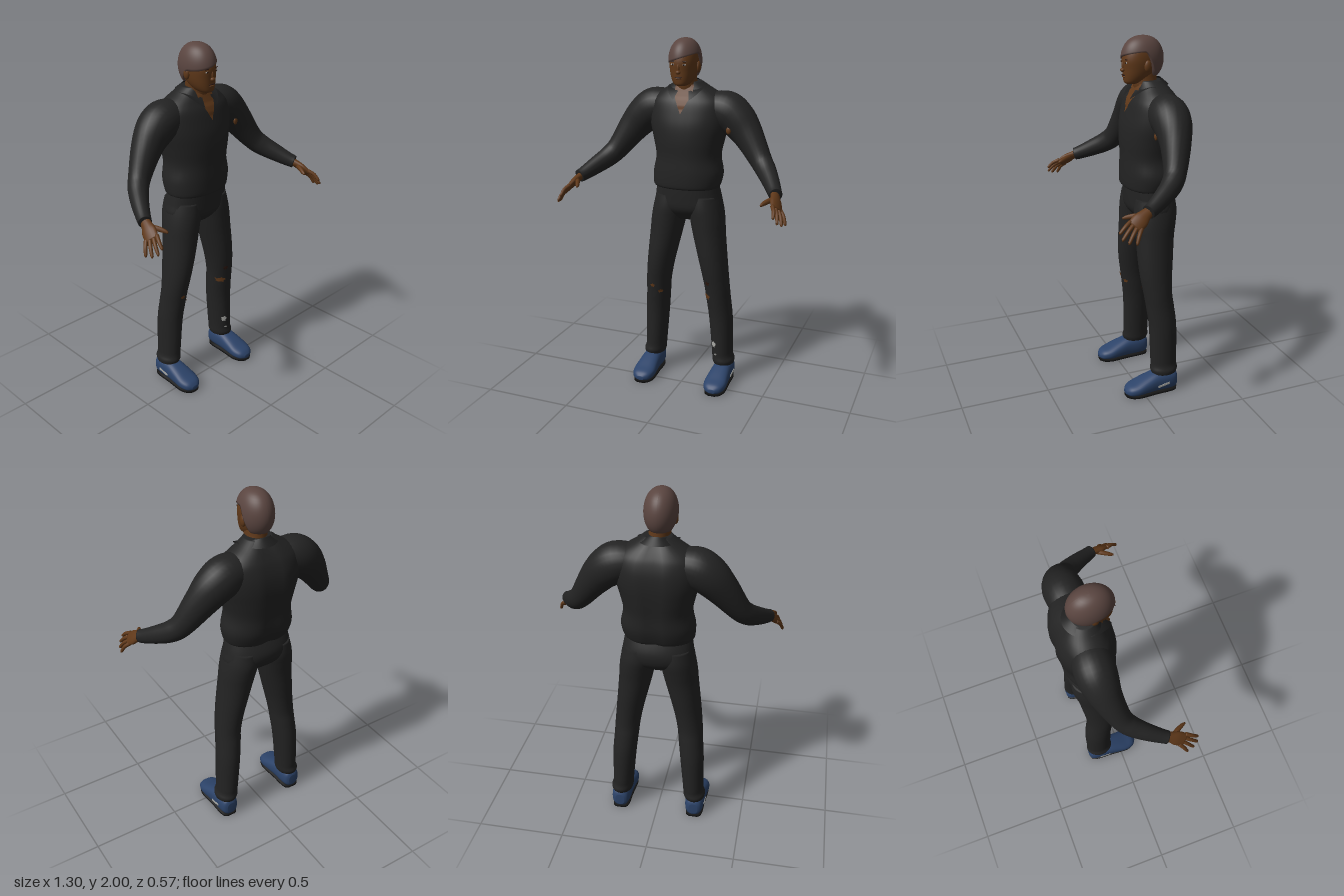
import * as THREE from 'three';

const V = (x, y, z) => new THREE.Vector3(x, y, z);
const UP = V(0, 1, 0), FRONT = V(0, 0, 1);
const mat = (name, color, side = THREE.FrontSide) => {
  const m = new THREE.MeshStandardMaterial({ color, side });
  m.name = name;
  return m;
};

// Catmull-Rom refinement of a list of equal-length number rows
function refine(rows, steps = 5) {
  const out = [], last = rows.length - 1;
  const row = i => rows[Math.min(last, Math.max(0, i))];
  for (let i = 0; i < last; i++) for (let k = 0; k < steps; k++) {
    const t = k / steps;
    out.push(row(i).map((b, j) => {
      const a = row(i - 1)[j], c = row(i + 1)[j], d = row(i + 2)[j];
      return b + 0.5 * t * (c - a + t * (2 * a - 5 * b + 4 * c - d + t * (3 * (b - c) + d - a)));
    }));
  }
  out.push(rows[last]);
  return out;
}

const power = (v, p) => Math.sign(v) * Math.abs(v) ** p;

// Closed superellipse ring across direction T; rv runs along ref, ru across it
function ring(c, T, ref, ru, rv, n = 2, segs = 32) {
  const v = ref.clone().addScaledVector(T, -ref.dot(T)).normalize();
  const u = T.clone().cross(v);
  return Array.from({ length: segs }, (_, i) => {
    const a = i / segs * Math.PI * 2;
    return c.clone().addScaledVector(u, ru * power(Math.sin(a), 2 / n))
      .addScaledVector(v, rv * power(Math.cos(a), 2 / n));
  });
}

function makeMesh(name, pts, idx, material) {
  const g = new THREE.BufferGeometry().setFromPoints(pts);
  g.setIndex(idx);
  g.computeVertexNormals();
  const m = new THREE.Mesh(g, material);
  m.name = name;
  return m;
}

// Skin over a list of rings, capped at both ends
function loft(name, rings, material) {
  const n = rings[0].length, pts = rings.flat(), idx = [];
  const centre = r => r.reduce((s, p) => s.add(p), V(0, 0, 0)).divideScalar(n);
  const lo = pts.push(centre(rings[0])) - 1, hi = pts.push(centre(rings.at(-1))) - 1;
  const top = (rings.length - 1) * n;
  for (let i = 0; i < n; i++) {
    const j = (i + 1) % n;
    for (let r = 0; r < top; r += n) idx.push(r + i, r + j, r + n + j, r + i, r + n + j, r + n + i);
    idx.push(lo, j, i, hi, top + i, top + j);
  }
  return makeMesh(name, pts, idx, material);
}

// Open surface, fn(u, v) with u to the right and v up
function sheet(name, nu, nv, fn, material) {
  const pts = [], idx = [], w = nu + 1;
  for (let j = 0; j <= nv; j++) for (let i = 0; i <= nu; i++) pts.push(fn(i / nu, j / nv));
  for (let j = 0; j < nv; j++) for (let i = 0; i < nu; i++) {
    const a = j * w + i;
    idx.push(a, a + 1, a + w + 1, a, a + w + 1, a + w);
  }
  return makeMesh(name, pts, idx, material);
}

// Upright sections: [y, centre x, half width, front z, back z]
const upright = (rows, n) => rows.map(([y, x, rx, f, b]) =>
  ring(V(x, y, (f + b) / 2), UP, FRONT, rx, (f - b) / 2, n));

function frontZ(rows, x, y, n = 2) {
  const s = rows.reduce((p, q) => Math.abs(q[0] - y) < Math.abs(p[0] - y) ? q : p);
  const d = Math.min(1, Math.abs((x - s[1]) / s[2]));
  return (s[3] + s[4]) / 2 + (s[3] - s[4]) / 2 * (1 - d ** n) ** (1 / n);
}

// Limb sections: [x, y, z, radius along ref, radius across]
function limb(name, rows, ref, material, segs = 24) {
  const d = refine(rows), at = i => V(...d[Math.min(d.length - 1, Math.max(0, i))].slice(0, 3));
  return loft(name, d.map((r, i) =>
    ring(at(i), at(i + 1).sub(at(i - 1)).normalize(), ref, r[4], r[3], 2, segs)), material);
}

// Ragged thin patch lying on the front of an upright form
function patch(name, rows, x, y, w, h, material) {
  const pts = [V(x, y, frontZ(rows, x, y) + 0.005)], idx = [], n = 12;
  for (let i = 0; i < n; i++) {
    const a = i / n * Math.PI * 2, k = 0.8 + 0.2 * Math.sin(i * 2.7);
    const px = x + w * k * Math.cos(a), py = y + h * k * Math.sin(a);
    pts.push(V(px, py, frontZ(rows, px, py) + 0.005));
    idx.push(0, i + 1, (i + 1) % n + 1);
  }
  return makeMesh(name, pts, idx, material);
}

function blob(name, x, y, z, sx, sy, sz, material) {
  const m = new THREE.Mesh(new THREE.SphereGeometry(1, 18, 12), material);
  m.name = name;
  m.position.set(x, y, z);
  m.scale.set(sx, sy, sz);
  return m;
}

export function createModel() {
  const cloth = mat('black cloth', 0x232323), collarCloth = mat('collar cloth', 0x1e1e1e, THREE.DoubleSide);
  const skin = mat('brown skin', 0x5f3819), hairMat = mat('hair brown', 0x5a4540, THREE.DoubleSide);
  const blue = mat('shoe blue', 0x2c4369), sole = mat('sole black', 0x151515);
  const white = mat('off white', 0xa8a8a4), dark = mat('dark features', 0x2c1810);
  const model = new THREE.Group();
  model.name = 'standingMan';
  const add = (...m) => model.add(...m);

  // Shirt body with a shallow spine groove
  const torso = refine([
    [1.185, -0.005, 0.18, 0.02, -0.225], [1.2, -0.005, 0.192, 0.03, -0.24], [1.27, 0, 0.2, 0.033, -0.262],
    [1.36, 0, 0.184, 0.032, -0.268], [1.45, 0, 0.2, 0.035, -0.28], [1.53, 0, 0.22, 0.03, -0.286],
    [1.6, 0, 0.228, 0.015, -0.28], [1.66, 0, 0.22, -0.003, -0.262], [1.7, 0, 0.18, -0.025, -0.24],
    [1.74, 0, 0.115, -0.045, -0.21], [1.77, 0, 0.072, -0.055, -0.18]]);
  const torsoRings = upright(torso, 2.2);
  torsoRings.flat().forEach(p => {
    if (p.z < -0.18) p.z += 0.014 * Math.exp(-((p.x / 0.035) ** 2));
  });
  add(loft('shirtBody', torsoRings, cloth));

  // Open neckline and folded collar
  add(sheet('neckline', 8, 16, (u, v) => {
    const y = 1.605 + 0.15 * v, x = (u - 0.5) * 2 * Math.min(0.052, 0.075 * v + 0.001);
    return V(x, y, frontZ(torso, x, y, 2.2) + 0.006);
  }, skin));
  add(sheet('collar', 48, 4, (u, v) => {
    const a = 0.42 + u * (Math.PI * 2 - 0.84), f = Math.max(0, Math.cos(a)) ** 2;
    const low = 1.745 - 0.08 * f, high = 1.75 - 0.03 * Math.cos(a);
    const rx = 0.108 - 0.036 * v, rz = 0.122 - 0.042 * v;
    return V(rx * Math.sin(a), low + (high - low) * v, -0.1 + rz * Math.cos(a));
  }, collarCloth));

  // Trouser seat
  add(loft('trouserSeat', upright(refine([
    [1.0, 0, 0.09, -0.05, -0.17], [1.03, 0, 0.16, -0.02, -0.21], [1.07, 0, 0.2, 0.004, -0.238],
    [1.13, 0, 0.192, 0.01, -0.245], [1.21, 0, 0.178, 0.012, -0.215]]), 2.2), cloth));

  // Neck and head
  add(loft('neck', upright(refine([
    [1.62, 0, 0.05, -0.06, -0.17], [1.72, 0, 0.058, -0.035, -0.165],
    [1.78, -0.006, 0.056, -0.025, -0.16], [1.83, -0.01, 0.055, -0.02, -0.16]])), skin));
  const head = refine([
    [1.752, -0.008, 0.024, 0.008, -0.05], [1.762, -0.008, 0.043, 0.02, -0.09], [1.79, -0.009, 0.06, 0.024, -0.13],
    [1.83, -0.01, 0.071, 0.026, -0.16], [1.88, -0.01, 0.075, 0.028, -0.175],
    [1.93, -0.01, 0.068, 0.012, -0.175], [1.965, -0.01, 0.045, -0.02, -0.14]]);
  add(loft('head', upright(head, 2.2), skin));
  const onFace = (x, y) => frontZ(head, x, y, 2.2);
  add(blob('noseTip', -0.008, 1.826, 0.029, 0.014, 0.011, 0.013, skin),
    blob('noseBridge', -0.008, 1.846, 0.023, 0.008, 0.026, 0.011, skin),
    blob('upperLip', -0.008, 1.799, onFace(-0.008, 1.799), 0.022, 0.004, 0.006, dark),
    blob('lowerLip', -0.008, 1.791, onFace(-0.008, 1.791), 0.018, 0.005, 0.007, skin));
  for (const s of [-1, 1]) {
    const x = -0.009 + s * 0.031, z = onFace(x, 1.866);
    add(blob('eye', x, 1.866, z, 0.012, 0.005, 0.003, white),
      blob('pupil', x, 1.866, z + 0.002, 0.005, 0.005, 0.002, dark),
      blob('eyebrow', x, 1.882, onFace(x, 1.882), 0.017, 0.003, 0.004, dark),
      blob('ear', -0.01 + s * 0.074, 1.848, -0.085, 0.013, 0.031, 0.02, skin));
  }

  // Hair cap with a swept fringe and short nape
  add(sheet('hair', 56, 18, (u, v) => {
    const a = (u * 2 - 1) * Math.PI, back = THREE.MathUtils.smoothstep(Math.abs(a), 1.45, 2.15);
    const low = THREE.MathUtils.lerp(1.895 + 0.028 * Math.sin(a), 1.795, back);
    const e0 = Math.asin((low - 1.88) / 0.12), t = Math.max(0, (v - 1 / 18) / (17 / 18));
    const e = e0 + (Math.PI / 2 - e0) * t, k = Math.max(0, Math.cos(e)) ** 0.85 * (v === 0 ? 0.84 : 1);
    return V(-0.009 + 0.087 * k * Math.sin(a), 1.88 + 0.12 * Math.sin(e), -0.082 + 0.118 * k * Math.cos(a));
  }, hairMat));

  for (const s of [-1, 1]) {
    const side = s > 0 ? 'left' : 'right';
    const flip = rows => rows.map(([x, ...r]) => [x * s, ...r]);

    // Sleeve
    add(limb(side + 'Sleeve', flip([
      [0.1, 1.63, -0.135, 0.08, 0.09], [0.2, 1.615, -0.14, 0.108, 0.105], [0.27, 1.57, -0.138, 0.104, 0.1],
      [0.34, 1.49, -0.122, 0.086, 0.08], [0.42, 1.375, -0.085, 0.064, 0.06], [0.465, 1.325, -0.045, 0.058, 0.054],
      [0.51, 1.285, 0.02, 0.05, 0.046], [0.55, 1.25, 0.09, 0.04, 0.038], [0.567, 1.238, 0.122, 0.036, 0.035]]), UP, cloth));

    // Hand: palm, four fingers and thumb
    const spread = V(0.48 * s, -0.5, -0.72);
    add(limb(side + 'Palm', flip([
      [0.555, 1.245, 0.1, 0.025, 0.022], [0.57, 1.227, 0.14, 0.031, 0.02],
      [0.582, 1.208, 0.17, 0.041, 0.019], [0.597, 1.183, 0.207, 0.038, 0.012]]), spread, skin, 16));
    const tips = [[0.598, 1.16, 0.285], [0.617, 1.133, 0.278], [0.633, 1.118, 0.252], [0.643, 1.113, 0.216]];
    tips.forEach(([x, y, z], k) => {
      const o = (k - 1.5) * 0.021, b = [0.592 + 0.48 * o, 1.19 - 0.5 * o, 0.197 - 0.72 * o];
      add(limb(side + 'Finger', flip([
        [...b, 0.0115, 0.0115], [(b[0] + x) / 2 + 0.005, (b[1] + y) / 2 + 0.006, (b[2] + z) / 2, 0.01, 0.01],
        [x, y + 0.004, z - 0.006, 0.008, 0.008], [x, y, z, 0.004, 0.004]]), spread, skin, 10));
    });
    add(limb(side + 'Thumb', flip([
      [0.57, 1.222, 0.145, 0.016, 0.014], [0.546, 1.22, 0.185, 0.014, 0.013],
      [0.528, 1.212, 0.22, 0.011, 0.01], [0.521, 1.206, 0.239, 0.005, 0.005]]), UP, skin, 10));

    // Trouser leg
    const leg = refine([
      [0.118, 0.22, 0.06, -0.06, -0.205], [0.14, 0.218, 0.064, -0.052, -0.213], [0.17, 0.212, 0.06, -0.056, -0.208],
      [0.22, 0.209, 0.061, -0.055, -0.21], [0.4, 0.199, 0.068, -0.05, -0.21], [0.52, 0.188, 0.07, -0.036, -0.198],
      [0.6, 0.181, 0.072, -0.024, -0.188], [0.7, 0.167, 0.077, -0.008, -0.192], [0.8, 0.15, 0.084, 0, -0.202],
      [0.92, 0.129, 0.093, 0.002, -0.214], [1.0, 0.117, 0.098, 0.004, -0.228], [1.07, 0.105, 0.098, 0.004, -0.238],
      [1.14, 0.1, 0.085, -0.005, -0.23]].map(([y, x, ...r]) => [y, x * s, ...r]));
    add(loft(side + 'TrouserLeg', upright(leg), cloth));
    const tears = s > 0
      ? [[0.14, 0.55, 0.026, 0.02, skin], [0.15, 0.64, 0.016, 0.016, dark],
        [0.18, 0.25, 0.017, 0.023, white], [0.192, 0.188, 0.012, 0.006, white]]
      : [[-0.19, 0.58, 0.018, 0.014, skin], [-0.148, 0.545, 0.016, 0.013, skin]];
    tears.forEach(([x, y, w, h, m]) => add(patch(side + 'LegTear', leg, x, y, w, h, m)));

    // Shoe: [z, half width, bottom, top]
    const shoe = refine([
      [-0.207, 0.026, 0.03, 0.1], [-0.192, 0.046, 0.014, 0.125], [-0.15, 0.055, 0.01, 0.132], [-0.08, 0.057, 0.01, 0.128],
      [-0.02, 0.062, 0.01, 0.108], [0.04, 0.065, 0.01, 0.083], [0.085, 0.05, 0.012, 0.066], [0.107, 0.02, 0.022, 0.045]]);
    add(loft(side + 'Shoe', shoe.map(([z, w, b, t]) =>
      ring(V(0.223 * s, (b + t) / 2, z), FRONT, UP, w, (t - b) / 2, 2.5)), blue));
    add(loft(side + 'Sole', [0.004, 0.02].map(y => shoe.map(([z, w]) => V(0.223 * s + w * 0.92, y, z * 0.98)).reverse()
      .concat(shoe.map(([z, w]) => V(0.223 * s - w * 0.92, y, z * 0.98)))
      .reverse()), new Object(sole)));
    const trim = new THREE.Mesh(new THREE.BoxGeometry(0.006, 0.012, 0.07), white);
    trim.name = side + 'ShoeTrim';
    trim.position.set(s * 0.279, 0.06, -0.11);
    trim.rotation.x = 0.2;
    add(trim);
  }

  // Worn spot on the left sleeve
  add(blob('sleeveTear', 0.25, 1.52, -0.052, 0.014, 0.02, 0.008, skin));
  // Sole winding runs from the toe around the outside
  model.traverse(o => { if (o.name.endsWith('Sole')) o.material.side = THREE.DoubleSide; });
  return model;
}
